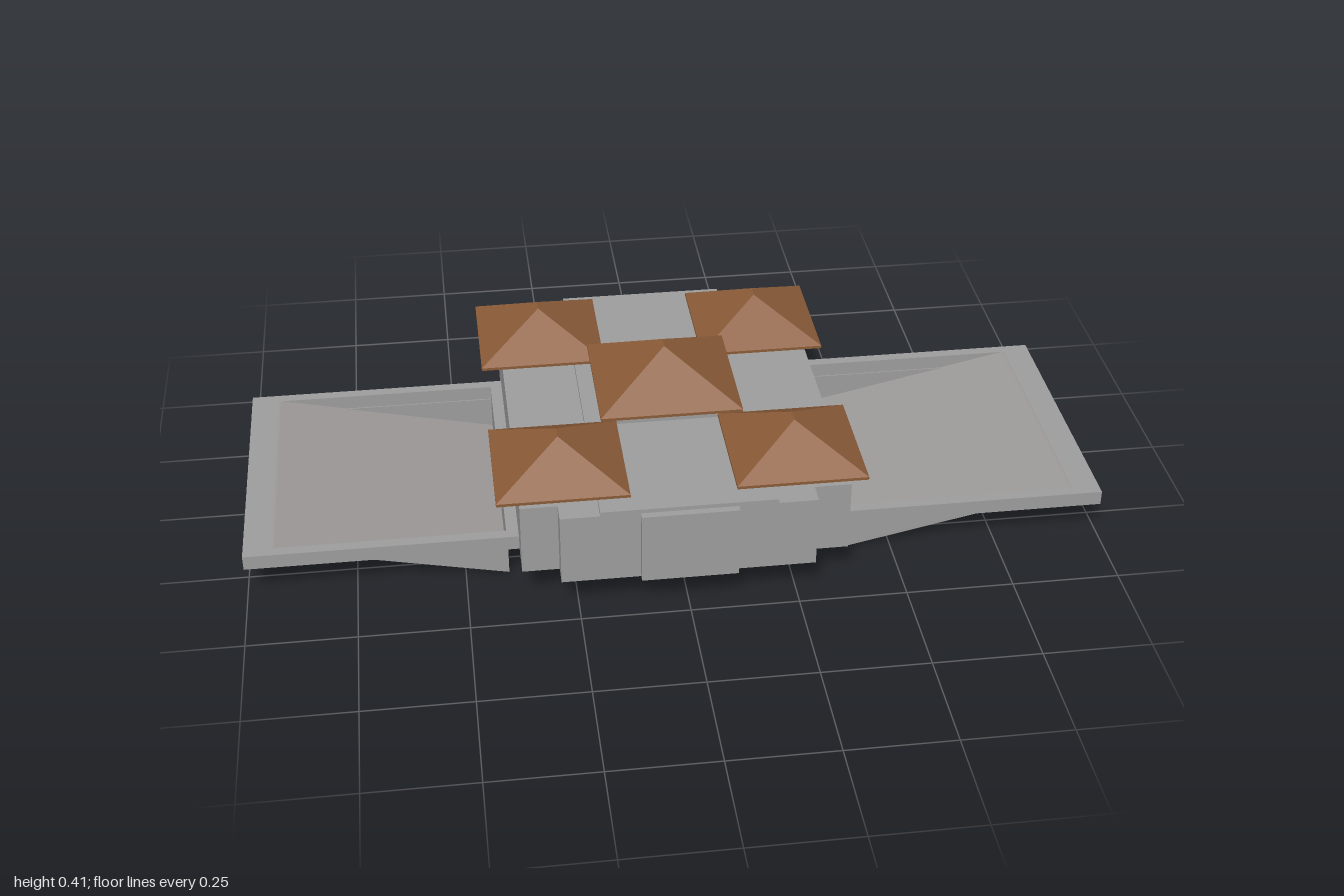
import * as THREE from 'three';

const stone = new THREE.MeshStandardMaterial({ color: 0x9e9e9e });
stone.name = 'grey stone';
const floorStone = new THREE.MeshStandardMaterial({ color: 0x9e9a9a });
floorStone.name = 'warm grey floor';
const roofBrown = new THREE.MeshStandardMaterial({ color: 0x8b5c38 });
roofBrown.name = 'brown roof';

function add(parent, name, geometry, material) {
  const mesh = new THREE.Mesh(geometry, material);
  mesh.name = name;
  parent.add(mesh);
  return mesh;
}

// Box given by its minimum and maximum on each axis
function block(parent, name, [x0, x1], [y0, y1], [z0, z1], material = stone) {
  const mesh = add(parent, name, new THREE.BoxGeometry(x1 - x0, y1 - y0, z1 - z0), material);
  mesh.position.set((x0 + x1) / 2, (y0 + y1) / 2, (z0 + z1) / 2);
  return mesh;
}

// Side profile in x/y, extruded from z0 to z1
function profile(parent, name, points, z0, z1, material = stone) {
  const shape = new THREE.Shape(points.map(([x, y]) => new THREE.Vector2(x, y)));
  const geometry = new THREE.ExtrudeGeometry(shape, { depth: z1 - z0, bevelEnabled: false });
  geometry.translate(0, 0, z0);
  return add(parent, name, geometry, material);
}

// Thin eave slab with a hipped top ending in a short ridge along z
function createRoof(name, size, rise) {
  const roof = new THREE.Group();
  roof.name = name;
  const eave = 0.007;
  block(roof, 'eave', [-size / 2, size / 2], [0, eave], [-size / 2, size / 2], roofBrown);
  const hip = new THREE.BoxGeometry(size, rise, size);
  const p = hip.attributes.position;
  for (let i = 0; i < p.count; i++) {
    if (p.getY(i) > 0) p.setXYZ(i, 0, p.getY(i), Math.sign(p.getZ(i)) * 0.016);
  }
  hip.translate(0, eave + rise / 2, 0);
  hip.computeVertexNormals();
  add(roof, 'hip', hip, roofBrown);
  return roof;
}

// Sloping basin with a raised rim, on the +x side
function createBasin(name) {
  const basin = new THREE.Group();
  basin.name = name;
  const inner = 0.307, outer = 0.333;
  profile(basin, 'basinShell', [
    [0.4, 0], [0.8, 0.085], [1, 0.085], [1, 0.12], [0.936, 0.12],
    [0.403, 0.004], [0.403, 0.12], [0.375, 0.12], [0.375, 0.085], [0.4, 0.085],
  ], -inner, inner);
  profile(basin, 'basinFloor', [
    [0.403, 0.004], [0.936, 0.12], [0.93, 0.1205], [0.403, 0.006],
  ], -inner, inner, floorStone);
  for (const s of [-1, 1]) {
    const span = (a, b) => (s > 0 ? [a, b] : [-b, -a]);
    block(basin, 'sideRim', [0.375, 1], [0.085, 0.12], span(inner, outer));
    profile(basin, 'sideWall', [[0.4, 0], [0.8, 0.085], [0.4, 0.085]], ...span(inner - 0.003, inner));
  }
  return basin;
}

export function createModel() {
  const model = new THREE.Group();
  model.name = 'pavilion';

  // Main hall with facades stepping outward at front and back
  for (const [name, x, z] of [
    ['mainHall', 0.375, 0.42], ['facadeStep', 0.29, 0.47], ['entranceStep', 0.11, 0.487],
  ]) {
    block(model, name, [-x, x], [0.085, 0.26], [-z, z]);
  }
  block(model, 'roofSlab', [-0.2, 0.2], [0.26, 0.27], [-0.47, 0.47]);
  block(model, 'cupolaWall', [-0.125, 0.125], [0.27, 0.307], [-0.125, 0.125]);

  // Centre roof and four smaller corner roofs
  const centre = createRoof('centreRoof', 0.333, 0.094);
  centre.position.y = 0.307;
  model.add(centre);
  for (const x of [-0.277, 0.262]) {
    for (const z of [0.28, -0.287]) {
      const roof = createRoof('cornerRoof', 0.299, 0.08);
      roof.position.set(x, 0.276, z);
      model.add(roof);
    }
  }

  // Basins on both sides
  const left = createBasin('leftBasin');
  const right = createBasin('rightBasin');
  right.rotation.y = Math.PI;
  model.add(left, right);
  return model;
}
